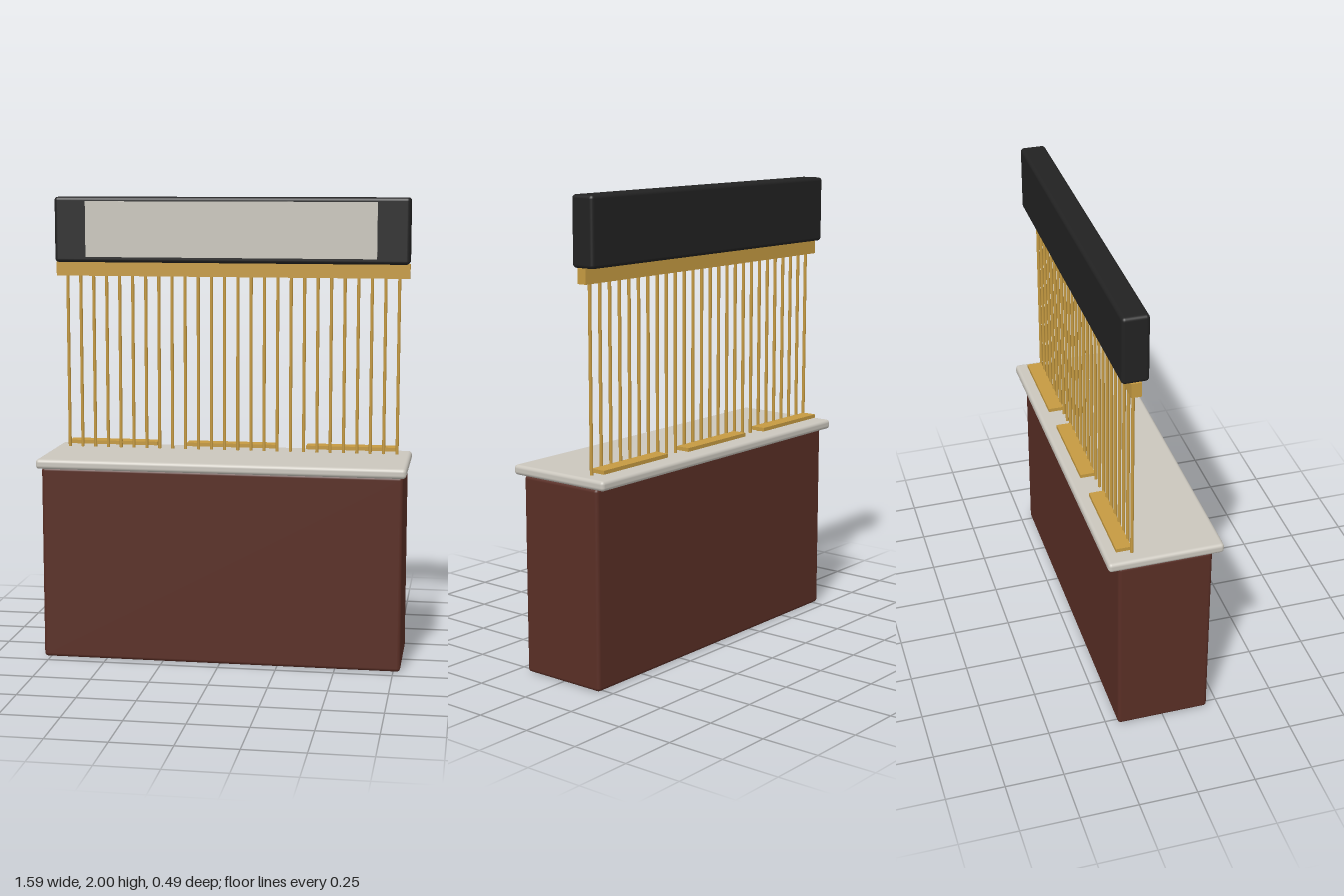
import * as THREE from 'three';
import { RoundedBoxGeometry } from 'three/addons/geometries/RoundedBoxGeometry.js';

export function createModel() {
  const group = new THREE.Group();
  const material = (name, color) => {
    const m = new THREE.MeshStandardMaterial({ color });
    m.name = name;
    return m;
  };
  const wood = material('dark red wood', 0x592e25);
  const stone = material('pale stone', 0xcac6bd);
  const brass = material('brass', 0xc59a41);
  const black = material('black', 0x222222);

  const add = (name, geometry, mat, x, y, z) => {
    const mesh = new THREE.Mesh(geometry, mat);
    mesh.name = name;
    mesh.position.set(x, y, z);
    group.add(mesh);
    return mesh;
  };
  const rounded = (w, h, d, r) => new RoundedBoxGeometry(w, h, d, 3, r);

  // Counter body and overhanging top
  add('counterBody', rounded(1.56, 0.845, 0.4, 0.015), wood, 0, 0.4225, 0);
  add('counterTop', rounded(1.59, 0.042, 0.49, 0.015), stone, 0, 0.865, 0);

  // Screen of upright rods
  const rodZ = -0.132, rodBottom = 0.88, rodTop = 1.66, rods = 26;
  const rodGeometry = new THREE.CylinderGeometry(0.007, 0.007, rodTop - rodBottom, 10);
  for (let i = 0; i < rods; i++) {
    const x = -0.735 + (1.47 * i) / (rods - 1);
    add('screenRod', rodGeometry, brass, x, (rodBottom + rodTop) / 2, rodZ);
  }

  // Rail carrying the sign
  add('topRail', new THREE.BoxGeometry(1.56, 0.062, 0.042), brass, 0, 1.685, rodZ);

  // Flat trays behind the rods
  for (const x of [-0.535, 0, 0.535]) {
    add('backTray', new THREE.BoxGeometry(0.4, 0.016, 0.065), brass, x, 0.906, -0.166);
  }

  // Sign box with a plain front panel
  add('signBox', rounded(1.56, 0.285, 0.11, 0.015), black, 0, 1.8575, -0.135);
  add('signPanel', new THREE.BoxGeometry(1.28, 0.243, 0.006), stone, 0, 1.86, -0.079);

  return group;
}
